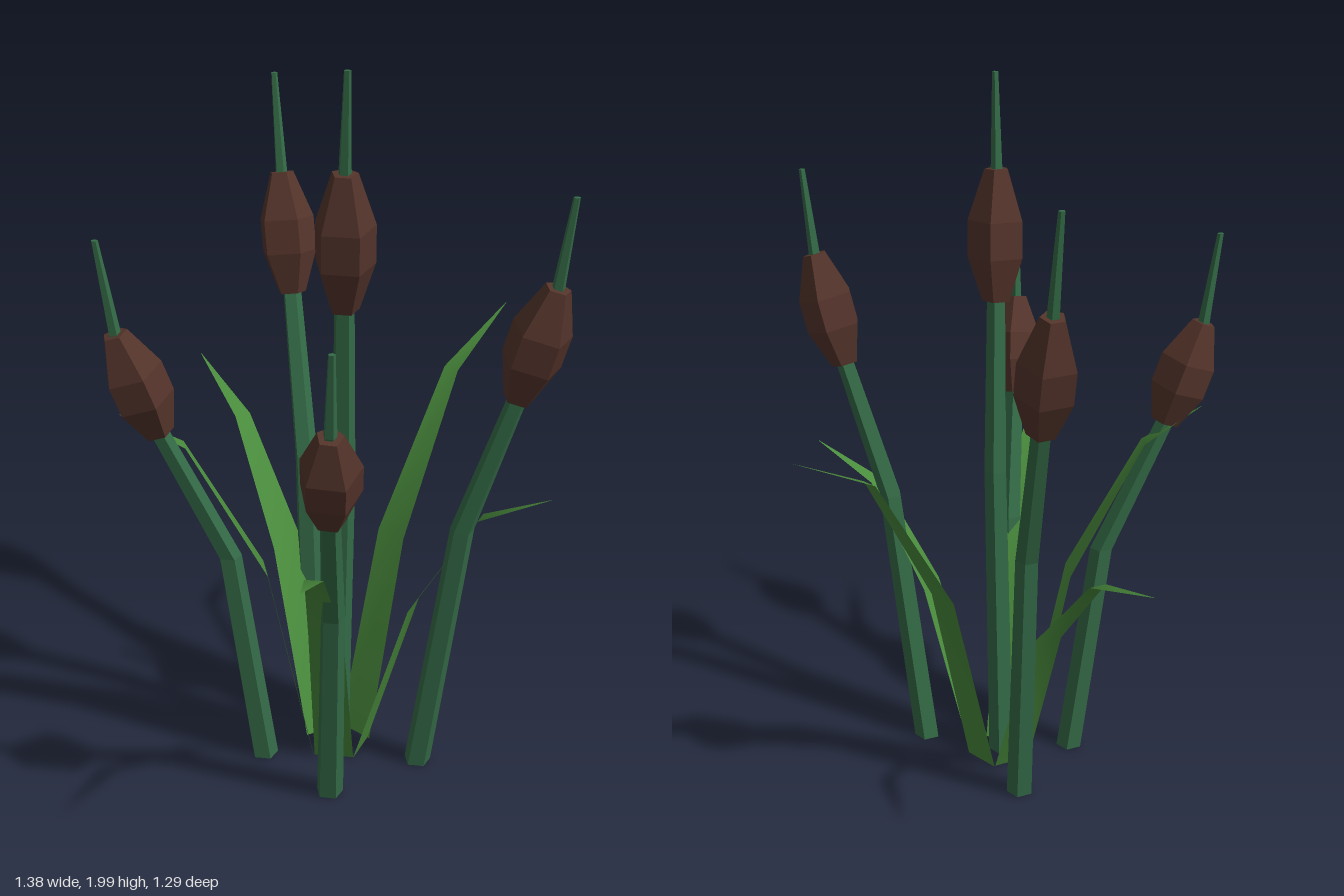
import * as THREE from 'three';

const stalkGreen = new THREE.MeshStandardMaterial({ name: 'stalk green', color: 0x346b47, flatShading: true });
const leafGreen = new THREE.MeshStandardMaterial({ name: 'leaf green', color: 0x4a8c3d, side: THREE.DoubleSide });
const headBrown = new THREE.MeshStandardMaterial({ name: 'head brown', color: 0x54342b, flatShading: true });

// Each stalk: base, bend, head bottom, head top, tip
const STALKS = [
  [[-0.08, 0.01, -0.03], [-0.15, 0.79, -0.07], [-0.29, 1.22, -0.155], [-0.36, 1.55, -0.185], [-0.4, 1.82, -0.2]],
  [[0.005, 0.01, 0.25], [-0.04, 0.66, 0.325], [-0.135, 1.04, 0.47], [-0.185, 1.325, 0.56], [-0.2, 1.575, 0.595]],
  [[0.125, 0.01, 0.085], [0.17, 0.9, 0.105], [0.21, 1.385, 0.145], [0.235, 1.745, 0.17], [0.257, 2.0, 0.185]],
  [[0.335, 0.01, -0.03], [0.45, 0.78, -0.055], [0.565, 1.17, -0.115], [0.65, 1.48, -0.145], [0.685, 1.715, -0.15]],
  [[0.265, 0.01, 0.25], [0.35, 0.63, 0.325], [0.44, 0.98, 0.425], [0.51, 1.25, 0.495], [0.54, 1.47, 0.52]],
];
const STALK_RADII = [0.038, 0.033, 0.027, 0.017, 0.009];

// Each leaf: base centre, lower bend, upper bend, tip
const LEAVES = [
  [[0.115, 0.01, -0.005], [0.11, 0.6, -0.15], [0.1, 1.03, -0.4], [0.09, 1.16, -0.645]],
  [[0.047, 0.01, 0.055], [-0.155, 0.52, -0.002], [-0.425, 0.82, -0.08], [-0.69, 0.915, -0.155]],
  [[0.076, 0.01, 0.135], [0.005, 0.6, 0.235], [-0.115, 0.99, 0.405], [-0.21, 1.09, 0.54]],
  [[0.184, 0.01, 0.045], [0.325, 0.52, -0.012], [0.49, 0.82, -0.08], [0.665, 0.91, -0.15]],
  [[0.158, 0.01, 0.125], [0.27, 0.52, 0.27], [0.415, 0.82, 0.455], [0.56, 0.92, 0.64]],
];
const LEAF_HALF_WIDTHS = [0.055, 0.046, 0.024, 0.001];

// Five-sided stem through the given points, with horizontal rings
function stalkGeometry(points) {
  const last = points.length - 1;
  const geo = new THREE.CylinderGeometry(1, 1, 1, 5, last);
  const pos = geo.attributes.position;
  for (let i = 0; i < pos.count; i++) {
    const k = Math.round((pos.getY(i) + 0.5) * last);
    const r = STALK_RADII[k], [x, y, z] = points[k];
    pos.setXYZ(i, x + pos.getX(i) * r, y, z + pos.getZ(i) * r);
  }
  geo.computeVertexNormals();
  return geo;
}

// Faceted seed head standing between two points
function makeHead(bottom, top) {
  const a = new THREE.Vector3(...bottom), b = new THREE.Vector3(...top);
  const axis = b.clone().sub(a), h = axis.length();
  const profile = [[0, -0.5], [0.04, -0.5], [0.08, -0.16], [0.08, 0.12], [0.034, 0.5], [0, 0.5]]
    .map(([r, t]) => new THREE.Vector2(r, t * h));
  const head = new THREE.Mesh(new THREE.LatheGeometry(profile, 5), headBrown);
  head.position.copy(a).add(b).multiplyScalar(0.5);
  head.quaternion.setFromUnitVectors(new THREE.Vector3(0, 1, 0), axis.normalize());
  return head;
}

// Flat blade bending outward and narrowing to a point
function leafGeometry(points) {
  const geo = new THREE.PlaneGeometry(1, 1, 1, points.length - 1);
  const pos = geo.attributes.position;
  const tip = points[points.length - 1];
  const out = new THREE.Vector2(tip[0] - points[0][0], tip[2] - points[0][2]).normalize();
  for (let i = 0; i < pos.count; i++) {
    const k = Math.round((pos.getY(i) + 0.5) * (points.length - 1));
    const w = Math.sign(pos.getX(i)) * LEAF_HALF_WIDTHS[k], [x, y, z] = points[k];
    pos.setXYZ(i, x - out.y * w, y, z + out.x * w);
  }
  geo.computeVertexNormals();
  return geo;
}

export function createModel() {
  const model = new THREE.Group();
  model.name = 'reedClump';

  STALKS.forEach((points, i) => {
    const reed = new THREE.Group();
    reed.name = `reed${i + 1}`;
    const stalk = new THREE.Mesh(stalkGeometry(points), stalkGreen);
    stalk.name = 'stalk';
    const head = makeHead(points[2], points[3]);
    head.name = 'seedHead';
    reed.add(stalk, head);
    model.add(reed);
  });

  LEAVES.forEach((points, i) => {
    const leaf = new THREE.Mesh(leafGeometry(points), leafGreen);
    leaf.name = `leaf${i + 1}`;
    model.add(leaf);
  });

  return model;
}
